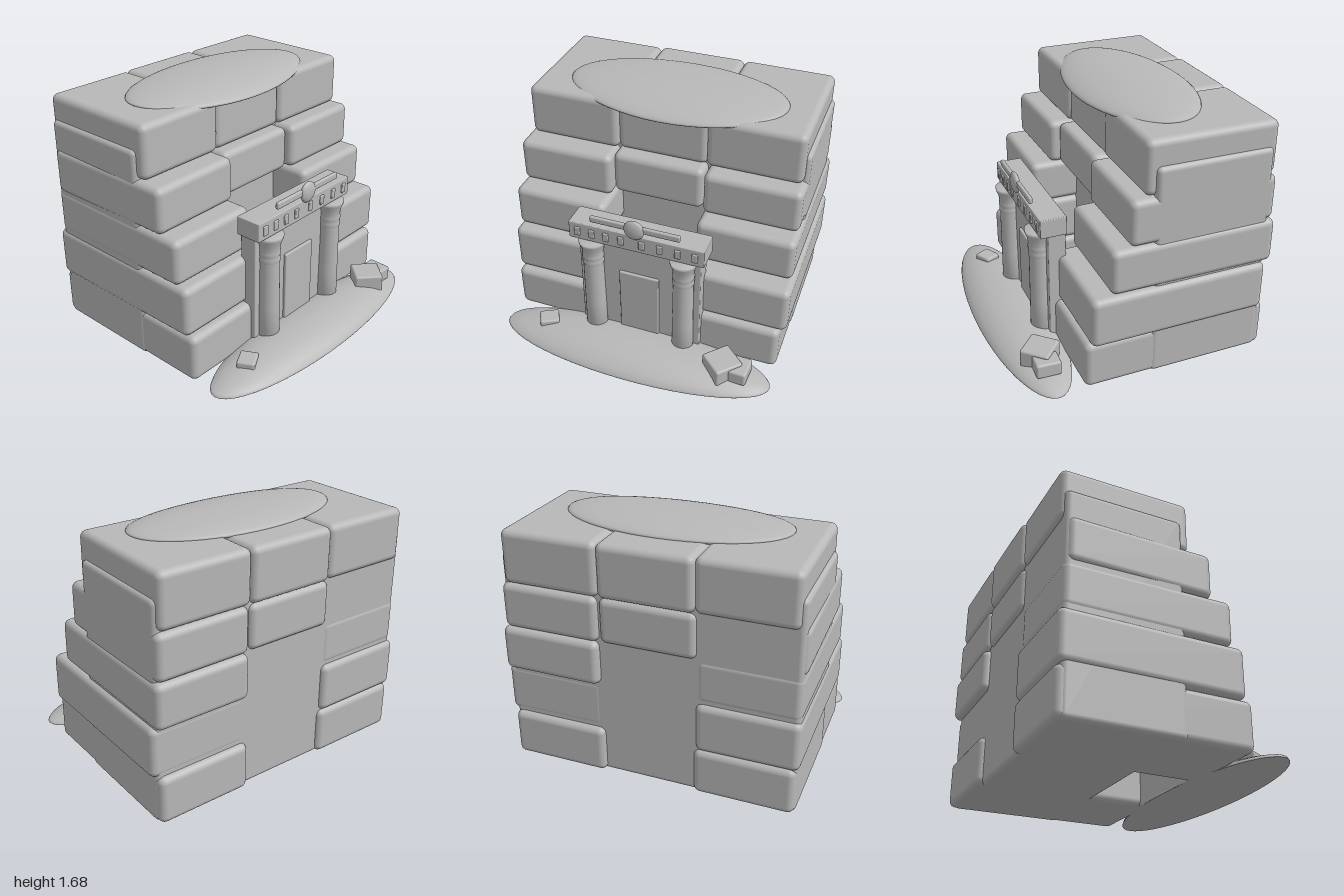
import * as THREE from 'three';
import { RoundedBoxGeometry } from 'three/addons/geometries/RoundedBoxGeometry.js';

export function createModel() {
  const model = new THREE.Group();
  model.name = 'stoneTemple';
  const stone = new THREE.MeshStandardMaterial({ color: 0xb8b8b8 });
  stone.name = 'stone';

  function add(name, geometry, parent = model) {
    const mesh = new THREE.Mesh(geometry, stone);
    mesh.name = name;
    parent.add(mesh);
    return mesh;
  }

  // Rounded block given by its bounds
  function block(name, [x0, x1], [y0, y1], [z0, z1], r = 0.045, yaw = 0, parent = model) {
    const mesh = add(name, new RoundedBoxGeometry(x1 - x0, y1 - y0, z1 - z0, 4, r), parent);
    mesh.position.set((x0 + x1) / 2, (y0 + y1) / 2, (z0 + z1) / 2);
    mesh.rotation.y = yaw;
    return mesh;
  }

  // Core behind the courses
  block('core', [-0.975, 0.962], [0, 1.455], [-0.81, -0.03], 0.035);

  // Stepped courses: y range, then x and z ranges of each stone
  const courses = [
    { y: [0, 0.325], stones: [[-0.97, -0.31, -0.84, 0.42], [0.3, 0.957, -0.85, 0.415]] },
    { y: [0.322, 0.66], stones: [[-0.985, -0.32, -0.84, 0.375], [0.31, 0.995, -0.812, 0.385]] },
    { y: [0.66, 0.962], stones: [[-0.98, -0.32, -0.815, 0.305], [0.31, 0.977, -0.862, 0.25]] },
    { y: [0.96, 1.265], stones: [[-0.985, -0.33, -0.8, 0.17], [-0.33, 0.3, -0.84, 0.1], [0.31, 0.962, -0.85, 0.13]] },
    { y: [1.265, 1.62], stones: [[-0.95, -0.315, -0.835, 0.035], [-0.32, 0.3, -0.85, 0.02], [0.295, 0.937, -0.845, 0.03]] },
  ];
  const yaws = [[0, 0], [0.006, 0], [0, -0.005], [0.015, 0, 0], [0, 0, -0.006]];
  courses.forEach(({ y, stones }, i) => stones.forEach(([x0, x1, z0, z1], j) =>
    block('courseStone', [x0, x1], y, [z0, z1], 0.045, yaws[i][j])));

  // Sagging cap on the roof
  const capGeo = new THREE.SphereGeometry(1, 48, 24);
  const p = capGeo.attributes.position;
  for (let i = 0; i < p.count; i++) {
    const z = p.getZ(i);
    const droop = z > 0 ? 0.035 * z * z : 0;
    p.setXYZ(i, p.getX(i) * 0.75, p.getY(i) * 0.055 - droop, z * 0.375);
  }
  capGeo.computeVertexNormals();
  add('roofCap', capGeo).position.set(0, 1.622, -0.265);

  // Low earth mound at the entrance, with a flat underside
  const moundProfile = [[0, 0], [1, 0], [1, 0.001], [0.985, 0.02], [0.88, 0.045], [0.72, 0.075],
    [0.5, 0.097], [0.25, 0.109], [0, 0.112]].map(([r, y]) => new THREE.Vector2(r, y));
  const mound = add('mound', new THREE.LatheGeometry(moundProfile, 48));
  mound.scale.set(0.975, 1, 0.268);
  mound.position.set(-0.005, 0, 0.598);

  // Fallen rocks on the mound
  block('rock', [-0.725, -0.59], [0, 0.112], [0.525, 0.645], 0.015, 0.5);
  block('rock', [0.535, 0.735], [0, 0.17], [0.505, 0.705], 0.015, -0.75).scale.z = 1.0;
  block('rock', [0.695, 0.82], [0.05, 0.152], [0.52, 0.685], 0.015, -0.05);

  // Entrance: back wall, door and lintel
  const portal = new THREE.Group();
  portal.name = 'portal';
  model.add(portal);
  block('portalWall', [-0.44, 0.42], [0, 0.91], [0.333, 0.455], 0.008, 0, portal);
  block('door', [-0.15, 0.13], [0.05, 0.592], [0.42, 0.475], 0.008, 0, portal);
  block('lintel', [-0.478, 0.458], [0.838, 0.967], [0.338, 0.517], 0.006, 0, portal);

  // Small raised blocks along the lintel
  for (const x of [-0.415, -0.315, -0.215, -0.11, 0.035, 0.157, 0.28, 0.395])
    block('dentil', [x - 0.02, x + 0.02], [0.87, 0.936], [0.505, 0.527], 0.006, 0, portal);

  // Columns with ringed necks and flared capitals
  const columnProfile = [[0, 0.03], [0.075, 0.03], [0.072, 0.3], [0.069, 0.64], [0.074, 0.65],
    [0.074, 0.675], [0.069, 0.685], [0.074, 0.695], [0.074, 0.72], [0.07, 0.73], [0.076, 0.775],
    [0.09, 0.81], [0.094, 0.835], [0, 0.835]].map(([r, y]) => new THREE.Vector2(r, y));
  for (const x of [-0.33, 0.31])
    add('column', new THREE.LatheGeometry(columnProfile, 24), portal).position.set(x, 0, 0.48);

  // Disc with side bars above the lintel
  const disc = add('disc', new THREE.SphereGeometry(1, 32, 20), portal);
  disc.scale.set(0.07, 0.072, 0.028);
  disc.position.set(-0.01, 1.026, 0.528);
  block('discBar', [-0.315, -0.06], [1.012, 1.058], [0.508, 0.535], 0.01, 0, portal);
  block('discBar', [0.04, 0.3], [1.012, 1.058], [0.508, 0.535], 0.01, 0, portal);

  return model;
}
